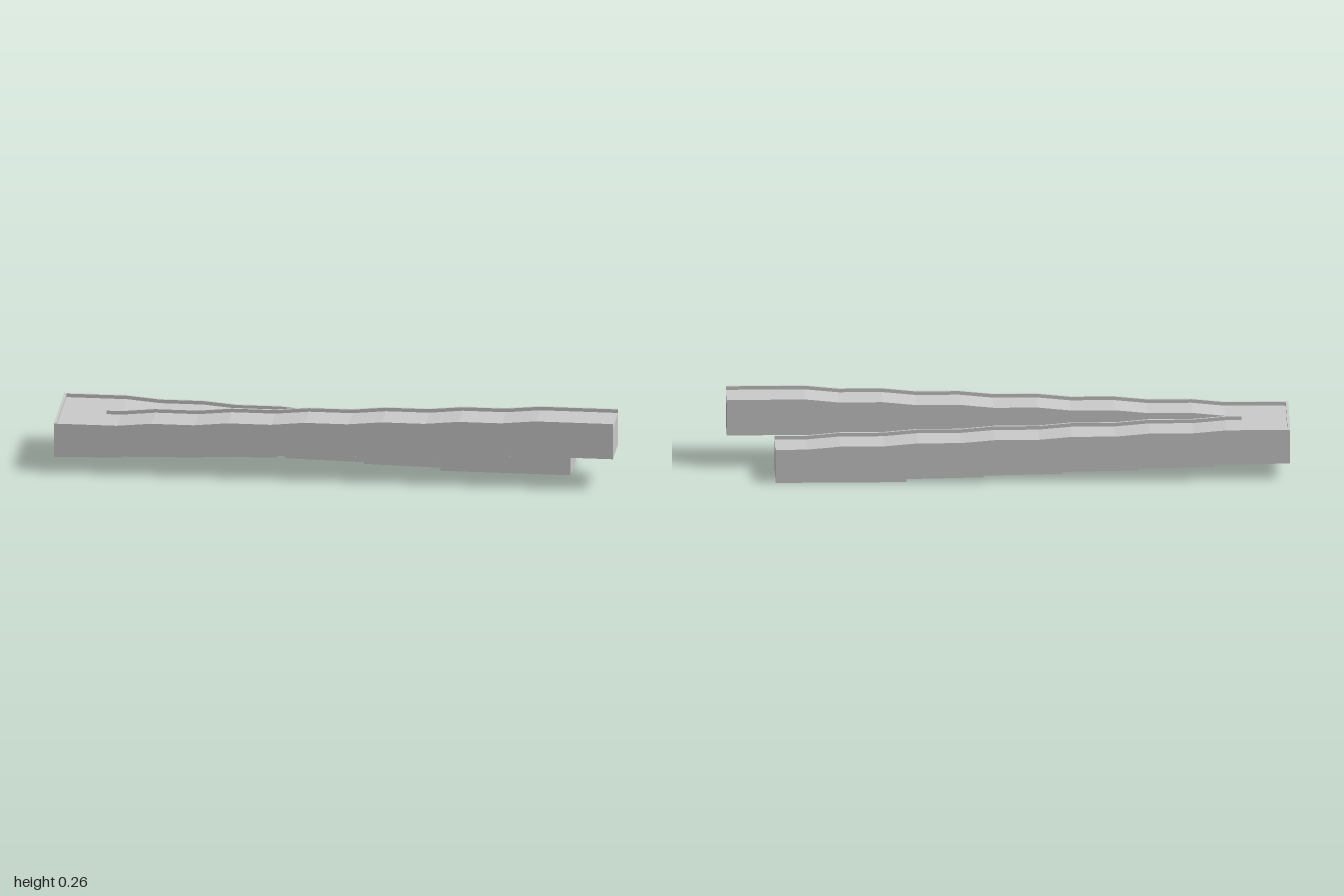
import * as THREE from 'three';

const material = new THREE.MeshStandardMaterial({ color: 0xcccccc, flatShading: true, side: THREE.DoubleSide });
const LANE = 0.173, CURB_W = 0.009, CURB_H = 0.013;
const PITCH = 0.275, FIRST = -0.715, HALF_RAMP = 0.06;

// Deck line: six short slopes separated by level rests
function deckLine(startX, endX, startY, endY) {
  const points = [[startX, startY]];
  const rise = (endY - startY) / 6;
  for (let i = 0; i < 6; i++) {
    const x = FIRST + i * PITCH;
    points.push([x - HALF_RAMP, startY + rise * i], [x + HALF_RAMP, startY + rise * (i + 1)]);
  }
  points.push([endX, endY]);
  return points;
}

// Stepped underside: each panel is [x0, x1, y0, y1]
const underside = panels => panels.flatMap(([x0, x1, y0, y1]) => [[x0, y0], [x1, y1]]);

// Side profile between an upper and a lower line, extruded along z
function slab(name, upper, lower, z, depth) {
  const outline = [...lower, ...[...upper].reverse()].map(([x, y]) => new THREE.Vector2(x, y));
  const geometry = new THREE.ExtrudeGeometry(new THREE.Shape(outline), { depth, bevelEnabled: false });
  geometry.translate(0, 0, z);
  const mesh = new THREE.Mesh(geometry, material);
  mesh.name = name;
  return mesh;
}

// Curb following the deck, optionally starting after the turning landing
function curb(name, deck, z, startX) {
  const line = [[startX, deck[0][1]], ...deck.slice(1)];
  return slab(name, line.map(([x, y]) => [x, y + CURB_H]), line, z, CURB_W);
}

export function createModel() {
  const model = new THREE.Group();
  model.name = 'switchbackRamp';

  // Upper flight, at the front, rising towards +x
  const upperDeck = deckLine(-1, 1, 0.172, 0.243);
  const upperFlight = new THREE.Group();
  upperFlight.name = 'upperFlight';
  upperFlight.add(
    slab('upperBody', upperDeck, underside([
      [-1, -0.75, 0.06, 0.067], [-0.75, -0.47, 0.07, 0.077], [-0.47, -0.2, 0.08, 0.087],
      [-0.2, 0.08, 0.092, 0.098], [0.08, 0.36, 0.103, 0.109],
      [0.36, 0.63, 0.113, 0.117], [0.63, 1, 0.124, 0.124]]), 0, LANE),
    curb('upperOuterCurb', upperDeck, LANE - CURB_W, -1),
    curb('upperInnerCurb', upperDeck, 0, -0.83));

  // Lower flight, at the back, rising towards -x
  const lowerDeck = deckLine(-1, 0.83, 0.172, 0.11);
  const lowerFlight = new THREE.Group();
  lowerFlight.name = 'lowerFlight';
  lowerFlight.add(
    slab('lowerBody', lowerDeck, underside([
      [-1, -0.73, 0.06, 0.057], [-0.73, -0.46, 0.049, 0.044], [-0.46, -0.19, 0.038, 0.034],
      [-0.19, 0.09, 0.027, 0.022], [0.09, 0.365, 0.016, 0.011], [0.365, 0.83, 0, 0]]), -LANE, LANE),
    curb('lowerOuterCurb', lowerDeck, -LANE, -1),
    curb('lowerInnerCurb', lowerDeck, -CURB_W, -0.83));

  // Curb closing the end of the turning landing
  const endCurb = new THREE.Mesh(new THREE.BoxGeometry(CURB_W, CURB_H, 2 * (LANE - CURB_W)), material);
  endCurb.name = 'landingEndCurb';
  endCurb.position.set(-1 + CURB_W / 2, 0.172 + CURB_H / 2, 0);

  model.add(upperFlight, lowerFlight, endCurb);
  return model;
}
